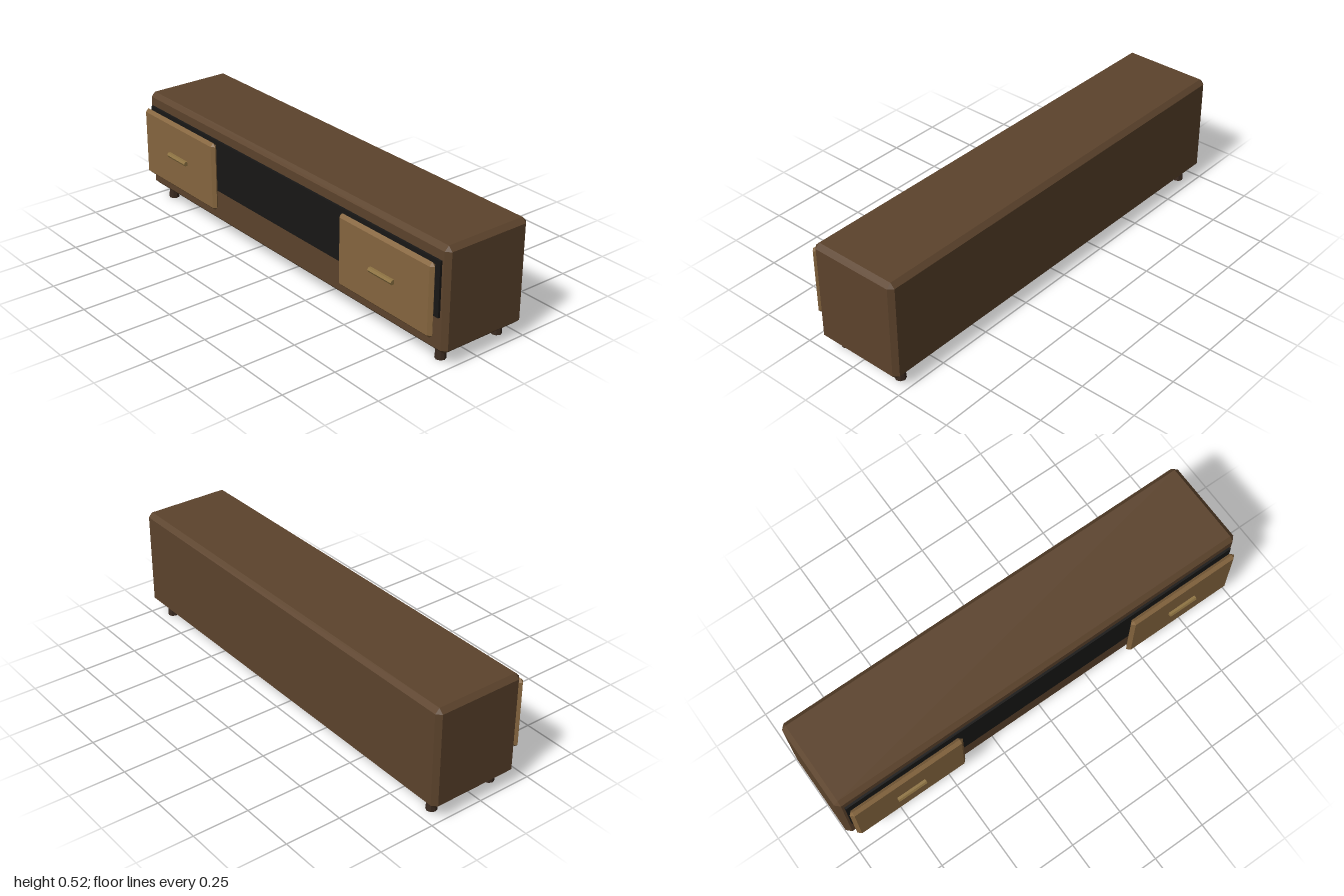
import * as THREE from 'three';
import { ConvexGeometry } from 'three/addons/geometries/ConvexGeometry.js';

const material = (color) => new THREE.MeshStandardMaterial({ color, flatShading: true });

// Box with every edge cut by a flat chamfer
function chamferBox(w, h, d, c) {
  const points = [];
  for (const sx of [-1, 1]) for (const sy of [-1, 1]) for (const sz of [-1, 1]) {
    const x = w / 2, y = h / 2, z = d / 2;
    points.push(
      new THREE.Vector3(sx * x, sy * (y - c), sz * (z - c)),
      new THREE.Vector3(sx * (x - c), sy * y, sz * (z - c)),
      new THREE.Vector3(sx * (x - c), sy * (y - c), sz * z),
    );
  }
  return new ConvexGeometry(points);
}

export function createModel() {
  const model = new THREE.Group();
  model.name = 'mediaConsole';

  const bodyWood = material(0x5c432c);
  const drawerWood = material(0x86663f);
  const legWood = material(0x3a2a20);
  const brass = material(0x8f7443);
  const black = material(0x181716);

  function add(parent, name, geometry, mat, x, y, z) {
    const mesh = new THREE.Mesh(geometry, mat);
    mesh.name = name;
    mesh.position.set(x, y, z);
    parent.add(mesh);
    return mesh;
  }

  // Cabinet body and the dark recess panel across its front
  add(model, 'cabinet', chamferBox(2, 0.46, 0.42, 0.02), bodyWood, 0, 0.29, -0.033);
  add(model, 'recessPanel', new THREE.BoxGeometry(1.94, 0.24, 0.02), black, 0, 0.34, 0.177);

  // Drawer fronts with six-sided bar handles
  const frontGeometry = chamferBox(0.545, 0.32, 0.029, 0.0143);
  const handleGeometry = new THREE.CylinderGeometry(0.0115, 0.0115, 0.137, 6);
  handleGeometry.rotateZ(Math.PI / 2);

  // Legs widen slightly toward the floor
  const legGeometry = new THREE.CylinderGeometry(0.0195, 0.0237, 0.06, 8);

  for (const [side, s] of [['left', 1], ['right', -1]]) {
    const drawer = new THREE.Group();
    drawer.name = side + 'Drawer';
    drawer.position.set(s * 0.697, 0.3, 0);
    add(drawer, side + 'DrawerFront', frontGeometry, drawerWood, 0, 0, 0.2125);
    add(drawer, side + 'Handle', handleGeometry, brass, 0, 0.0, 0.2325);
    model.add(drawer);

    add(model, side + 'FrontLeg', legGeometry, legWood, s * 0.92, 0.03, 0.117);
    add(model, side + 'BackLeg', legGeometry, legWood, s * 0.92, 0.03, -0.183);
  }

  return model;
}
